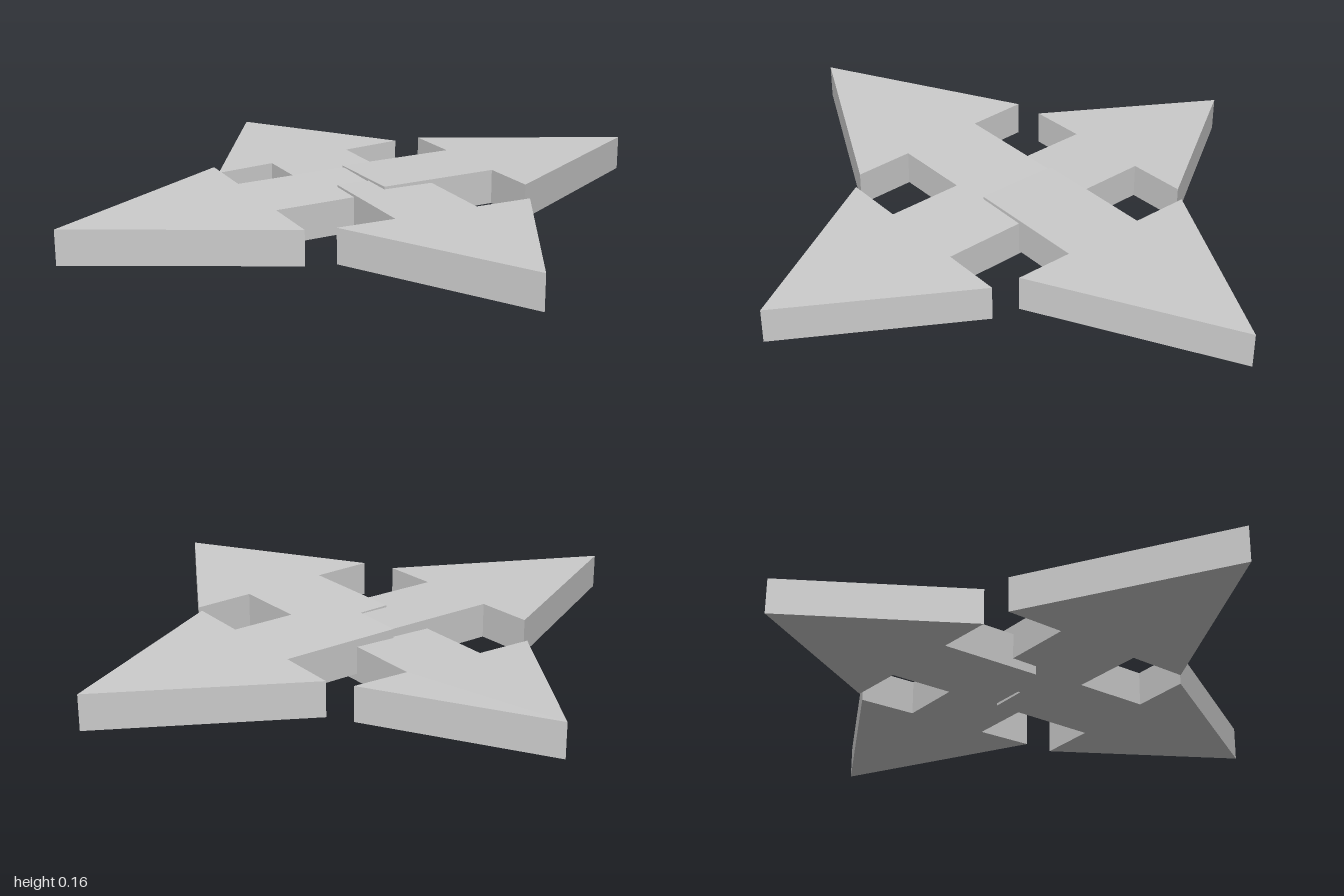
import * as THREE from 'three';

// Arrow along +x from 0 to length, lying flat; then turned, placed and tilted slightly.
function makeArrow({ name, length, turn, start, base, slopeX, slopeZ }) {
  const neck = length * 0.393, headHalf = 0.33, shaftHalf = 0.139, thickness = 0.111;
  const shape = new THREE.Shape([
    [0, -shaftHalf], [neck, -shaftHalf], [neck, -headHalf], [length, 0],
    [neck, headHalf], [neck, shaftHalf], [0, shaftHalf],
  ].map(([x, y]) => new THREE.Vector2(x, y)));

  const geometry = new THREE.ExtrudeGeometry(shape, { depth: thickness, bevelEnabled: false });
  geometry.rotateX(-Math.PI / 2);
  geometry.rotateY(turn);
  geometry.translate(start[0], 0, start[1]);

  // Slight tilt: height follows a sloping plane
  const p = geometry.attributes.position;
  for (let i = 0; i < p.count; i++) {
    p.setY(i, p.getY(i) + base + slopeX * p.getX(i) + slopeZ * p.getZ(i));
  }
  geometry.computeVertexNormals();

  const mesh = new THREE.Mesh(geometry, new THREE.MeshStandardMaterial({ color: 0xcccccc, flatShading: true }));
  mesh.name = name;
  return mesh;
}

export function createModel() {
  const group = new THREE.Group();
  group.name = 'fourWayArrows';
  const arrows = [
    { name: 'leftArrow', length: 0.995, turn: 0, start: [0.005, -0.038], base: 0.05, slopeX: -0.007, slopeZ: 0.022 },
    { name: 'rightArrow', length: 1.045, turn: Math.PI, start: [0.045, -0.029], base: 0.04, slopeX: 0.001, slopeZ: -0.016 },
    { name: 'frontArrow', length: 0.93, turn: -Math.PI / 2, start: [0.034, 0], base: 0.044, slopeX: -0.022, slopeZ: -0.002 },
    { name: 'backArrow', length: 0.85, turn: Math.PI / 2, start: [0.004, -0.082], base: 0.018, slopeX: 0.03, slopeZ: 0.008 },
  ];
  for (const arrow of arrows) group.add(makeArrow(arrow));
  return group;
}
